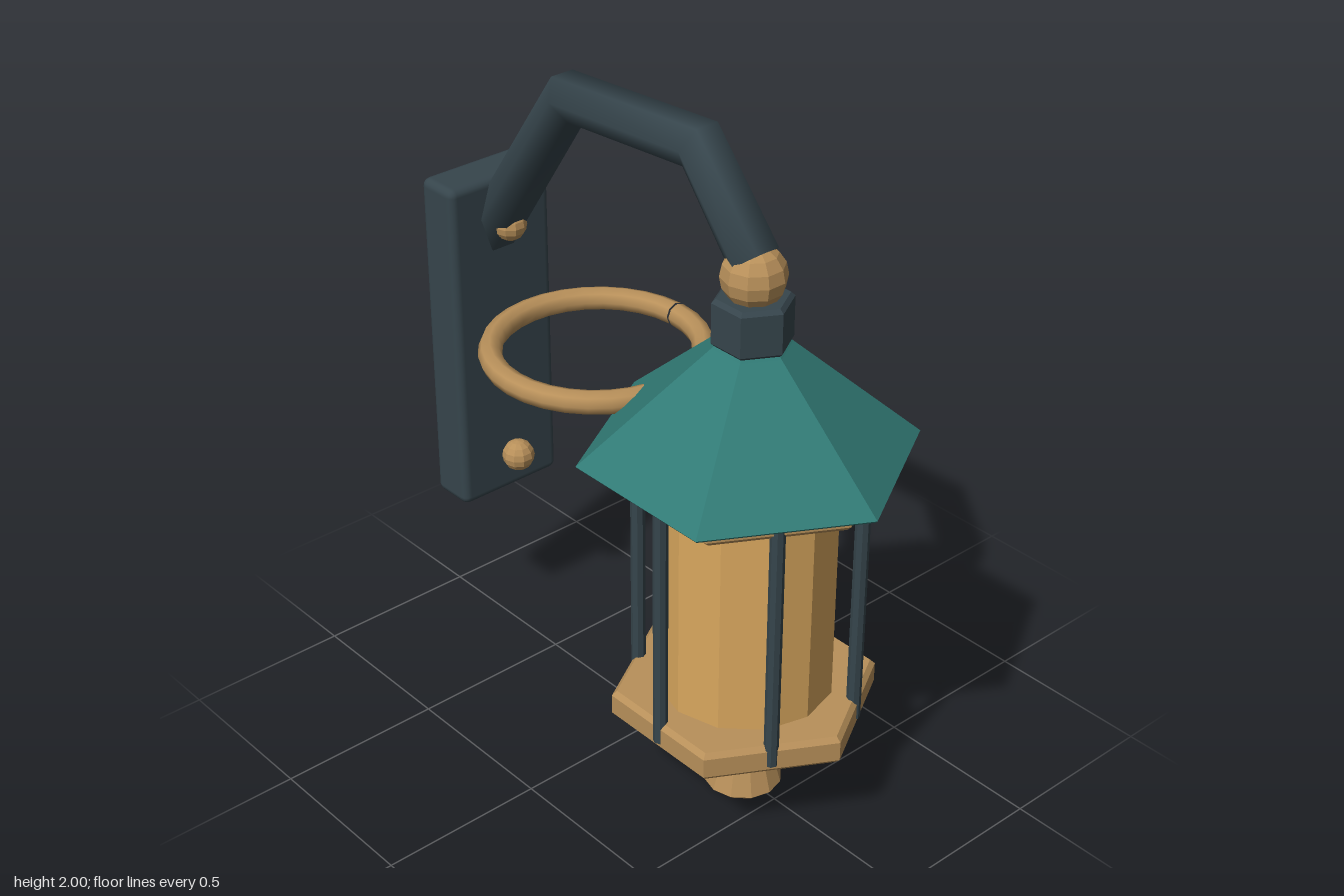
import * as THREE from 'three';
import { RoundedBoxGeometry } from 'three/addons/geometries/RoundedBoxGeometry.js';

const AXIS_Z = 0.365; // vertical axis of the lantern

const mat = (color, flatShading = true) =>
  new THREE.MeshStandardMaterial({ color, flatShading });
const iron = mat(0x36454c);
const ironSmooth = mat(0x36454c, false);
const brass = mat(0xb8905a);
const brassSmooth = mat(0xb8905a, false);
const amber = mat(0xd9a75e);
const teal = mat(0x317a75);

function add(parent, name, geometry, material, x = 0, y = 0, z = 0) {
  const mesh = new THREE.Mesh(geometry, material);
  mesh.name = name;
  mesh.position.set(x, y, z);
  parent.add(mesh);
  return mesh;
}

// Closed tapered prism with a small bevel; a corner points to +z
function prism(rBottom, rTop, y0, y1, sides, bevel) {
  const points = [
    [0, y0], [rBottom - bevel, y0], [rBottom, y0 + bevel],
    [rTop, y1 - bevel], [Math.max(rTop - bevel, 0.01), y1], [0, y1],
  ].map(([r, y]) => new THREE.Vector2(r, y));
  return new THREE.LatheGeometry(points, sides);
}

// Hexagonal bar swept along [z, y] points, with sections on the bisectors
function sweptArm(path, radius) {
  const sides = 6, pos = [], index = [];
  const pts = path.map(([z, y]) => new THREE.Vector3(0, y, z));
  const dir = (a, b) => b.clone().sub(a).normalize();
  pts.forEach((p, k) => {
    const t = new THREE.Vector3();
    if (k > 0) t.add(dir(pts[k - 1], p));
    if (k < pts.length - 1) t.add(dir(p, pts[k + 1]));
    t.normalize();
    for (let i = 0; i < sides; i++) {
      const a = (i / sides) * Math.PI * 2;
      const c = Math.cos(a) * radius, s = Math.sin(a) * radius;
      pos.push(c, p.y - t.z * s, p.z + t.y * s);
    }
  });
  const last = (pts.length - 1) * sides;
  for (let k = 0; k < last; k += sides) {
    for (let i = 0; i < sides; i++) {
      const j = (i + 1) % sides;
      index.push(k + i, k + sides + i, k + j, k + j, k + sides + i, k + sides + j);
    }
  }
  for (let i = 1; i < sides - 1; i++) {
    index.push(0, i, i + 1, last, last + i + 1, last + i);
  }
  const g = new THREE.BufferGeometry();
  g.setAttribute('position', new THREE.Float32BufferAttribute(pos, 3));
  g.setIndex(index);
  g.computeVertexNormals();
  return g;
}

export function createModel() {
  const model = new THREE.Group();
  model.name = 'wallLantern';

  // Wall plate with its two screws
  add(model, 'wallPlate', new RoundedBoxGeometry(0.36, 1.06, 0.145, 2, 0.025),
    ironSmooth, 0, 1.03, -0.7675);
  for (const y of [0.635, 1.42]) {
    add(model, 'plateScrew', new THREE.SphereGeometry(0.05, 10, 8), brass, 0, y, -0.657);
  }

  // Bent arm from the lantern to the plate
  add(model, 'arm', sweptArm([[0.365, 1.695], [0.155, 1.945], [-0.37, 1.91], [-0.745, 1.37]], 0.075),
    ironSmooth);

  // Horizontal ring, with a hairline split on one side
  const ring = add(model, 'ring',
    new THREE.TorusGeometry(0.305, 0.035, 8, 32, Math.PI * 2 - 0.025),
    brassSmooth, 0, 1.17, -0.27);
  ring.rotation.x = Math.PI / 2;

  // Lantern body
  const lantern = new THREE.Group();
  lantern.name = 'lantern';
  lantern.position.z = AXIS_Z;
  model.add(lantern);

  add(lantern, 'finial', prism(0.115, 0.045, 0, 0.27, 12, 0.012), brass);
  add(lantern, 'baseRim', prism(0.385, 0.385, 0.28, 0.37, 6, 0.015), brass);
  add(lantern, 'glass', prism(0.255, 0.255, 0.35, 1.08, 12, 0.005), amber);
  add(lantern, 'topRim', prism(0.385, 0.385, 1.05, 1.125, 6, 0.015), brass);
  add(lantern, 'roof', prism(0.475, 0.11, 1.12, 1.455, 6, 0.008), teal);
  add(lantern, 'collar', prism(0.112, 0.112, 1.45, 1.592, 6, 0.012), iron);
  add(lantern, 'ball', new THREE.SphereGeometry(0.091, 10, 8), brass, 0, 1.65, 0);

  // Six upright bars at the middle of each side
  for (let i = 0; i < 6; i++) {
    const a = (i / 6) * Math.PI * 2;
    add(lantern, 'bar', new THREE.CylinderGeometry(0.021, 0.021, 0.82, 8), iron,
      Math.cos(a) * 0.32, 0.715, Math.sin(a) * 0.32);
  }
  return model;
}
